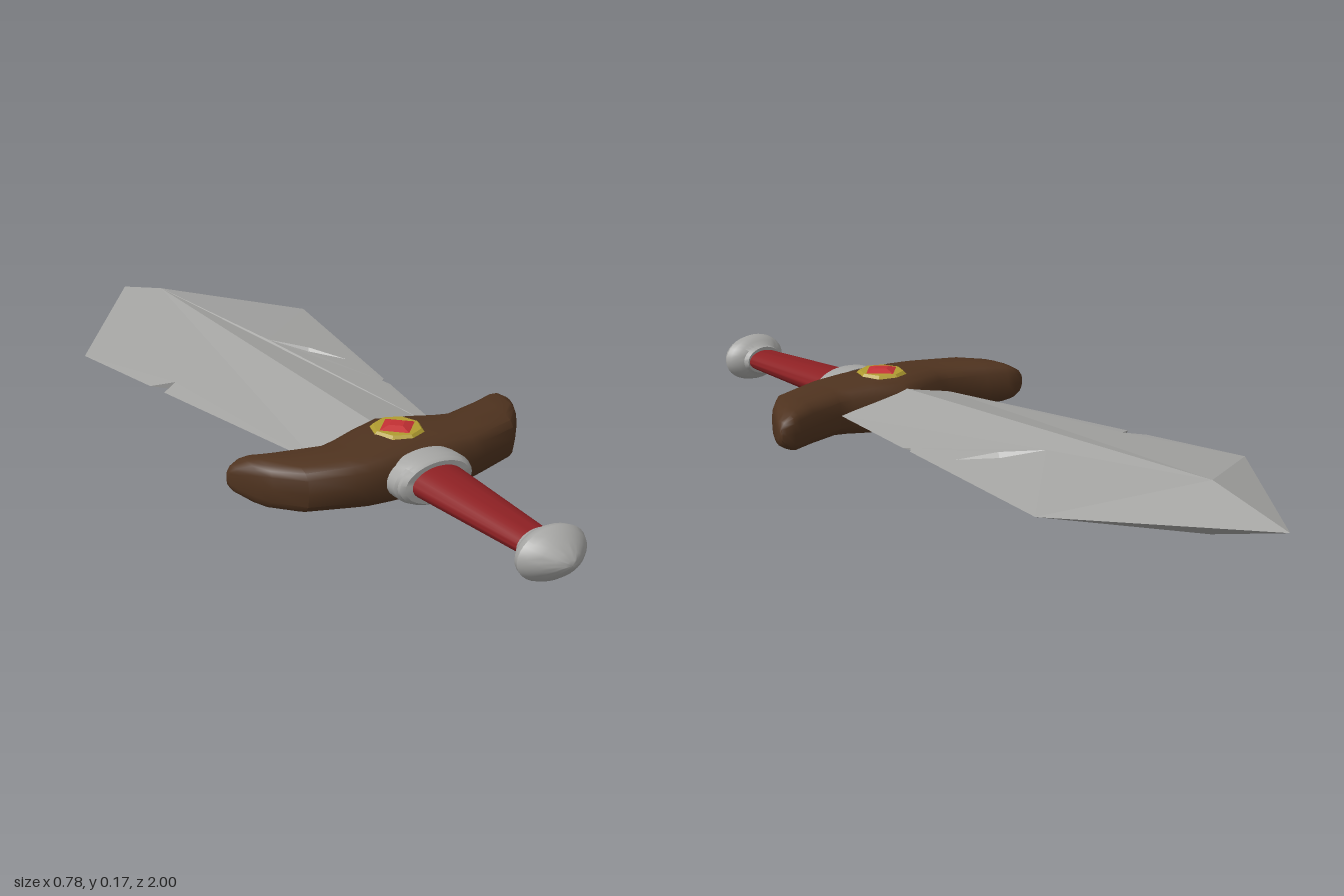
import * as THREE from 'three';
import { toCreasedNormals } from 'three/addons/utils/BufferGeometryUtils.js';

const MID = 0.083; // height of the sword's centre plane

const material = (name, color, side = THREE.FrontSide) => {
  const m = new THREE.MeshStandardMaterial({ color, side });
  m.name = name;
  return m;
};

// Blade: half thickness falls from the centre ridge to the sharp edge
const ridge = (z) => 0.047 + (0.3 - z) * 0.0135;
const edgeX = (z) => 0.175 + (0.3 - z) * 0.176;
const thickness = (x, z) => Math.max(0, ridge(z) * (1 - Math.abs(x) / edgeX(z)));

function bladeGeometry() {
  const pos = [];
  const lift = ([x, z], s) => new THREE.Vector3(x, MID + s * thickness(x, z), z);
  const tri = (a, b, c, s) => {
    const n = b.clone().sub(a).cross(c.clone().sub(a));
    for (const p of n.y * s < 0 ? [a, c, b] : [a, b, c]) pos.push(p.x, p.y, p.z);
  };
  const shoulder = (side) => [side * edgeX(-0.58), -0.58];
  const base = (side) => [side * 0.175, 0.3];
  // Nicks in each cutting edge
  const nicks = {
    '-1': [[-edgeX(-0.31), -0.31], [-0.228, -0.28], [-edgeX(-0.255), -0.255]],
    '1': [[edgeX(-0.045), -0.045], [0.222, -0.03], [edgeX(-0.01), -0.01]],
  };
  // Slash cut into both faces of one half
  const slash = [[0.075, -0.34], [0.158, -0.275], [0.215, -0.185], [0.138, -0.245]];
  const tip = new THREE.Vector3(0, MID, -1);

  for (const side of [-1, 1]) {
    const edge = [shoulder(side), ...nicks[side], base(side)];
    const outline = [[0, 0.3], [0, -0.78], ...edge];
    const holes = side > 0 ? [slash] : [];
    const all = [...outline, ...holes.flat()];
    const v2 = (list) => list.map(([x, z]) => new THREE.Vector2(x, z));
    const faces = THREE.ShapeUtils.triangulateShape(v2(outline), holes.map(v2));
    for (const s of [-1, 1]) {
      for (const f of faces) tri(...f.map((i) => lift(all[i], s)), s);
      tri(lift([0, -0.78], s), lift(shoulder(side), s), tip, s);
      // Sloping walls of the slash
      for (const hole of holes) {
        const deep = new THREE.Vector3(0.146, MID + s * 0.004, -0.262);
        hole.forEach((p, i) => tri(lift(p, s), lift(hole[(i + 1) % 4], s), deep, s));
      }
    }
    // Walls of the nicks
    for (let i = 1; i < 3; i++) {
      const [a, b] = [edge[i], edge[i + 1]];
      tri(lift(a, 1), lift(b, 1), lift(b, -1), 1);
      tri(lift(a, 1), lift(b, -1), lift(a, -1), 1);
    }
  }
  const g = new THREE.BufferGeometry();
  g.setAttribute('position', new THREE.Float32BufferAttribute(pos, 3));
  g.computeVertexNormals();
  return g;
}

// Guard: rounded cross-sections from one horn to the other
function guardGeometry() {
  // x, z towards the blade, z towards the grip, half height
  const half = [
    [0, 0.245, 0.475, 0.072], [0.08, 0.269, 0.475, 0.068], [0.14, 0.29, 0.474, 0.063],
    [0.175, 0.299, 0.464, 0.061], [0.28, 0.268, 0.432, 0.057], [0.335, 0.248, 0.37, 0.053],
    [0.355, 0.243, 0.336, 0.046], [0.378, 0.248, 0.293, 0.031], [0.387, 0.254, 0.272, 0.018],
    [0.389, 0.262, 0.262, 0],
  ];
  const mirrored = half.slice(1).reverse().map(([x, ...r]) => [-x, ...r]);
  const stations = [...mirrored, ...half];
  const n = 16;
  const soft = (v) => Math.sign(v) * Math.abs(v) ** 0.6;
  const pos = [], index = [];
  stations.forEach(([x, z0, z1, h], i) => {
    for (let j = 0; j < n; j++) {
      const a = (j / n) * Math.PI * 2;
      pos.push(x, MID + h * soft(Math.sin(a)), (z0 + z1) / 2 + ((z1 - z0) / 2) * soft(Math.cos(a)));
      if (i === stations.length - 1) continue;
      const k = i * n + j, l = i * n + ((j + 1) % n);
      index.push(k, k + n, l, l, k + n, l + n);
    }
  });
  const g = new THREE.BufferGeometry();
  g.setAttribute('position', new THREE.Float32BufferAttribute(pos, 3));
  g.setIndex(index);
  return toCreasedNormals(g, 0.7);
}

// Oval turned part along z; profile holds [radius, z]
function turned(profile, flatness) {
  const g = new THREE.LatheGeometry(profile.map(([r, z]) => new THREE.Vector2(r, z)), 32);
  g.rotateX(Math.PI / 2).scale(1, flatness, 1).translate(0, MID, 0);
  return toCreasedNormals(g, 0.7);
}

// Faceted frustum for the jewel and its setting
function facet(top, bottom, y0, y1, sides) {
  const g = new THREE.CylinderGeometry(top, bottom, y1 - y0, sides).toNonIndexed();
  g.translate(0, (y0 + y1) / 2, 0);
  g.computeVertexNormals();
  return g;
}

export function createModel() {
  const steel = material('steel', 0xa6a6a4);
  const bladeSteel = material('bladeSteel', 0xa4a4a2, THREE.DoubleSide);
  const wood = material('darkWood', 0x4f331f);
  const leather = material('redLeather', 0x8c2023);
  const gold = material('gold', 0xb09c30);
  const ruby = material('ruby', 0xc23033);

  const model = new THREE.Group();
  model.name = 'sword';
  const add = (name, geometry, mat, parent = model) => {
    const mesh = new THREE.Mesh(geometry, mat);
    mesh.name = name;
    parent.add(mesh);
    return mesh;
  };

  add('blade', bladeGeometry(), bladeSteel);
  add('guard', guardGeometry(), wood);

  // Hilt
  add('collar', turned([[0, 0.46], [0.104, 0.46], [0.104, 0.503], [0.098, 0.508],
    [0.098, 0.517], [0.088, 0.525], [0, 0.525]], 0.56), steel);
  add('grip', turned([[0, 0.51], [0.07, 0.51], [0.047, 0.89], [0, 0.89]], 0.57), leather);
  add('pommel', turned([[0, 0.878], [0.052, 0.878], [0.057, 0.892], [0.072, 0.9], [0.085, 0.915],
    [0.09, 0.93], [0.08, 0.947], [0.06, 0.966], [0.035, 0.985], [0.015, 0.996], [0, 1]], 0.69), steel);

  // Jewel on both faces of the guard
  for (const side of [1, -1]) {
    const jewel = new THREE.Group();
    jewel.name = side > 0 ? 'topJewel' : 'bottomJewel';
    jewel.position.set(0, MID, 0.36);
    jewel.rotation.z = side > 0 ? 0 : Math.PI;
    add('setting', facet(0.058, 0.078, 0.055, 0.075, 8), gold, jewel).scale.x = 0.95;
    add('gem', facet(0.022, 0.055, 0.073, 0.083, 4), ruby, jewel);
    model.add(jewel);
  }
  return model;
}
